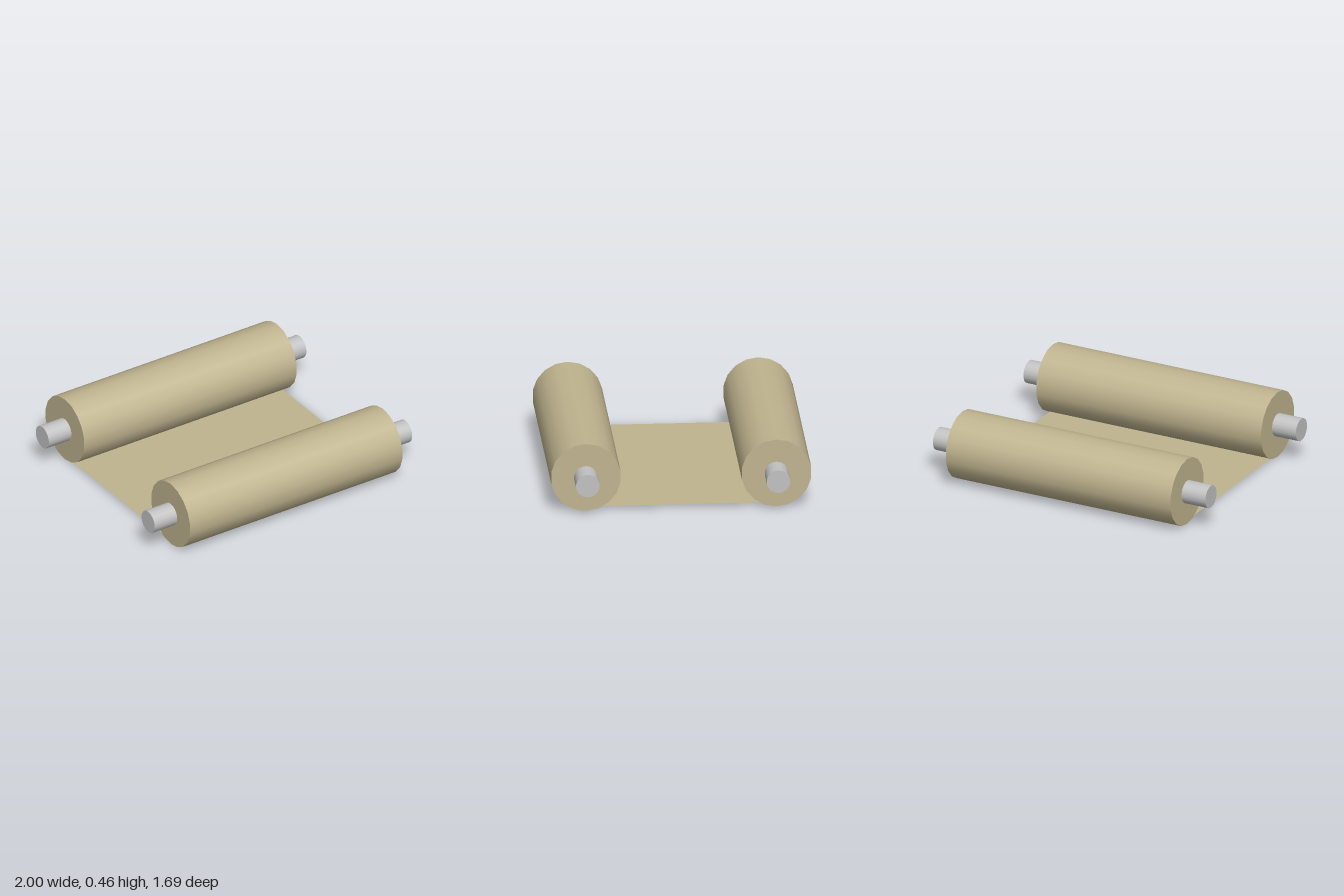
import * as THREE from 'three';

const ROLL_RADIUS = 0.228;
const ROLL_Z = 0.618;

export function createModel() {
  const model = new THREE.Group();
  model.name = 'scroll';

  const paper = new THREE.MeshStandardMaterial({ color: 0xc0b48f, side: THREE.DoubleSide });
  paper.name = 'tan paper';
  const metal = new THREE.MeshStandardMaterial({ color: 0xc2c2c2 });
  metal.name = 'grey metal';

  // Cylinder lying along x, with a vertex at its lowest point
  const bar = (name, radius, length, material) => {
    const geometry = new THREE.CylinderGeometry(radius, radius, length, 18, 1, false, Math.PI / 2);
    geometry.rotateZ(Math.PI / 2);
    const mesh = new THREE.Mesh(geometry, material);
    mesh.name = name;
    return mesh;
  };

  // Front and back rolls, each on a rod that sticks out at both ends
  for (const [side, sign] of [['front', 1], ['back', -1]]) {
    const roller = new THREE.Group();
    roller.name = side + 'Roller';
    roller.add(bar(side + 'Roll', ROLL_RADIUS, 1.65, paper));
    roller.add(bar(side + 'Rod', 0.077, 2, metal));
    roller.position.set(0, ROLL_RADIUS, sign * ROLL_Z);
    model.add(roller);
  }

  // Flat sheet stretched between the rolls, its ends tucked inside them
  const sheet = new THREE.Mesh(new THREE.PlaneGeometry(1.62, 2 * ROLL_Z), paper);
  sheet.name = 'sheet';
  sheet.rotation.x = -Math.PI / 2;
  sheet.position.set(-0.01, 0.02, 0);
  model.add(sheet);

  return model;
}
